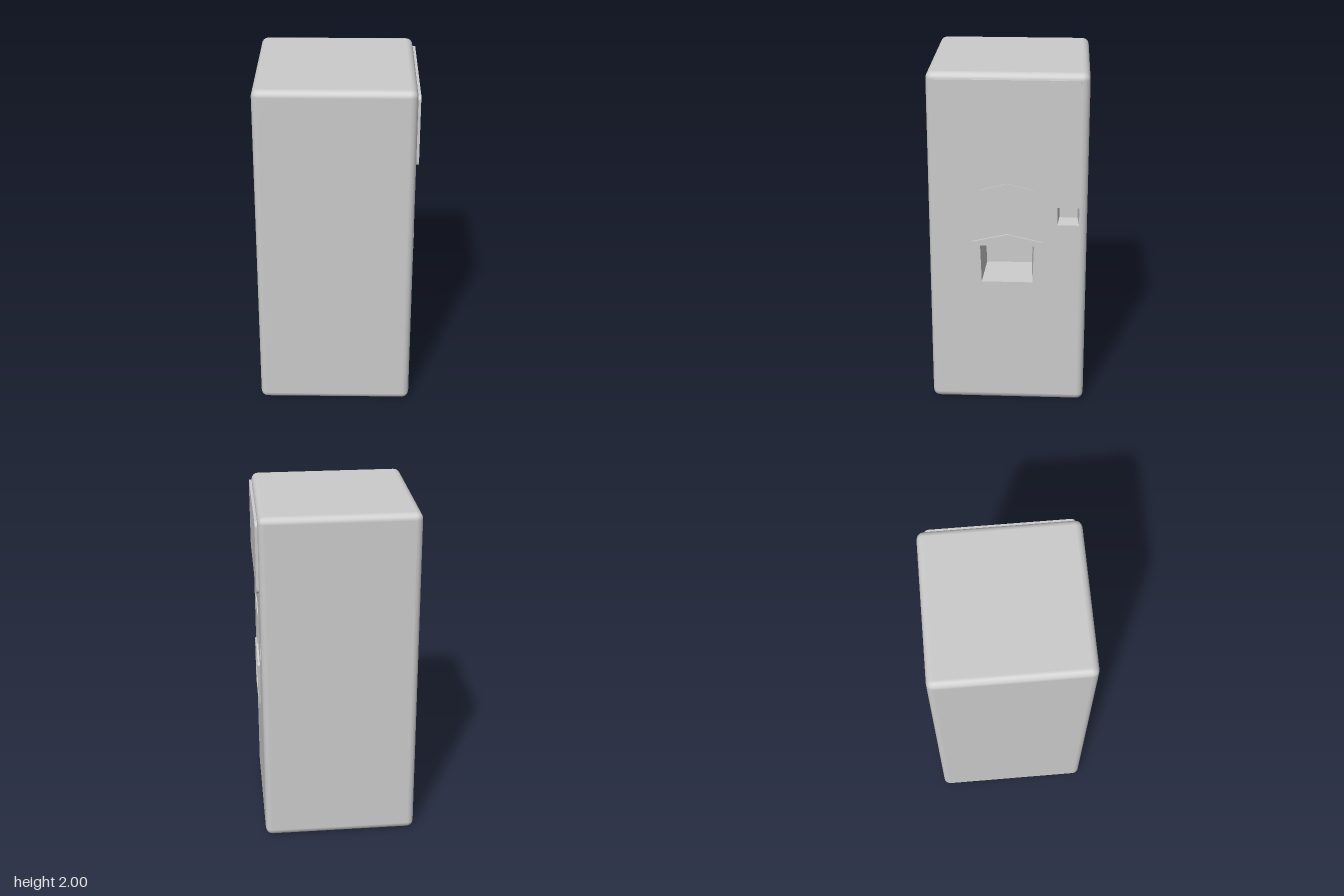
import * as THREE from 'three';
import { RoundedBoxGeometry } from 'three/addons/geometries/RoundedBoxGeometry.js';

const grey = new THREE.MeshStandardMaterial({ color: 0xcccccc, side: THREE.DoubleSide });
const FACE = 0.44; // x of the panel side of the cabinet
const W = 0.895, H = 2, R = 0.04;

function add(parent, name, geometry) {
  const mesh = new THREE.Mesh(geometry, grey);
  mesh.name = name;
  parent.add(mesh);
  return mesh;
}

const outline = (pts) => pts.map(([x, y]) => new THREE.Vector2(x, y));
const polygon = (pts) => new THREE.Shape(outline(pts));

// Five-sided plate outline, pointed at the top
const pentagon = (top, shoulder, bottom, wide, narrow) =>
  [[-narrow, bottom], [narrow, bottom], [wide, shoulder], [0, top], [-wide, shoulder]];

function roundedRect(x0, y0, x1, y1, r) {
  const s = new THREE.Shape();
  s.absarc(x1 - r, y0 + r, r, -Math.PI / 2, 0);
  s.absarc(x1 - r, y1 - r, r, 0, Math.PI / 2);
  s.absarc(x0 + r, y1 - r, r, Math.PI / 2, Math.PI);
  s.absarc(x0 + r, y0 + r, r, Math.PI, Math.PI * 1.5);
  return s;
}

const slab = (shape, depth) =>
  new THREE.ExtrudeGeometry(shape, { depth, bevelEnabled: false, curveSegments: 5 });

// Rounded box without the flat wall that carries the openings
function openCabinet() {
  const box = new RoundedBoxGeometry(W, H, W, 2, R);
  const src = box.index ? box.toNonIndexed() : box;
  const p = src.attributes.position, n = src.attributes.normal;
  const pos = [], nor = [];
  for (let i = 0; i < p.count; i += 3) {
    if ([0, 1, 2].every((k) => p.getX(i + k) > W / 2 - 1e-4)) continue;
    for (let k = i; k < i + 3; k++) {
      pos.push(p.getX(k), p.getY(k), p.getZ(k));
      nor.push(n.getX(k), n.getY(k), n.getZ(k));
    }
  }
  const g = new THREE.BufferGeometry();
  g.setAttribute('position', new THREE.Float32BufferAttribute(pos, 3));
  g.setAttribute('normal', new THREE.Float32BufferAttribute(nor, 3));
  return g;
}

// Four-sided pocket: tapered walls from the front loop to the back loop, then a back wall
function pocket(front, back, zFront, zBack) {
  const pos = [];
  const quad = (a, b, c, d) => pos.push(...a, ...b, ...c, ...a, ...c, ...d);
  const f = front.map(([x, y]) => [x, y, zFront]);
  const b = back.map(([x, y]) => [x, y, zBack]);
  for (let i = 0; i < 4; i++) {
    const j = (i + 1) % 4;
    quad(f[j], f[i], b[i], b[j]);
  }
  quad(...b);
  const g = new THREE.BufferGeometry();
  g.setAttribute('position', new THREE.Float32BufferAttribute(pos, 3));
  g.computeVertexNormals();
  return g;
}

export function createModel() {
  const model = new THREE.Group();
  model.name = 'vendingCabinet';

  const cabinet = add(model, 'cabinetShell', openCabinet());
  cabinet.position.set(FACE - W / 2, H / 2, -0.0025);

  // Panel side, drawn facing +z and turned to face +x
  const side = new THREE.Group();
  side.name = 'panelSide';
  side.rotation.y = Math.PI / 2;
  side.position.x = FACE;
  model.add(side);

  const trayHole = [[-0.145, 0.775], [0.145, 0.775], [0.153, 1.0], [-0.153, 1.0]];
  const trayBack = [[-0.132, 0.785], [0.134, 0.785], [0.14, 0.995], [-0.14, 0.995]];
  const slotHole = [[0.283, 1.125], [0.405, 1.125], [0.405, 1.23], [0.283, 1.23]];
  const slotBack = [[0.293, 1.135], [0.396, 1.135], [0.396, 1.22], [0.293, 1.22]];

  // Flat wall with both openings
  const e = W / 2 - R, c = 0.0025;
  const wall = polygon([[c - e, R], [c + e, R], [c + e, H - R], [c - e, H - R]]);
  wall.holes.push(new THREE.Path(outline(trayHole)), new THREE.Path(outline(slotHole)));
  add(side, 'panelWall', new THREE.ShapeGeometry(wall));

  // Raised plates
  add(side, 'displayPanel', slab(roundedRect(-0.413, 1.55, 0.407, 1.965, 0.03), 0.015));
  add(side, 'pentagonPlate', slab(polygon(pentagon(1.37, 1.33, 1.12, 0.15, 0.125)), 0.006));

  const frame = polygon(pentagon(1.067, 1.02, 0.753, 0.202, 0.167));
  frame.holes.push(new THREE.Path(outline(trayHole)));
  add(side, 'trayFrame', slab(frame, 0.013));

  // Recesses
  add(side, 'trayRecess', pocket(trayHole, trayBack, 0, -0.25));
  add(side, 'slotRecess', pocket(slotHole, slotBack, 0, -0.1));

  // Chute hanging from the tray ceiling
  const chute = polygon([[-0.06, 0.965], [0.06, 0.965], [0.085, 1.0], [-0.085, 1.0]]);
  add(side, 'chute', slab(chute, 0.11)).position.z = -0.18;

  return model;
}
